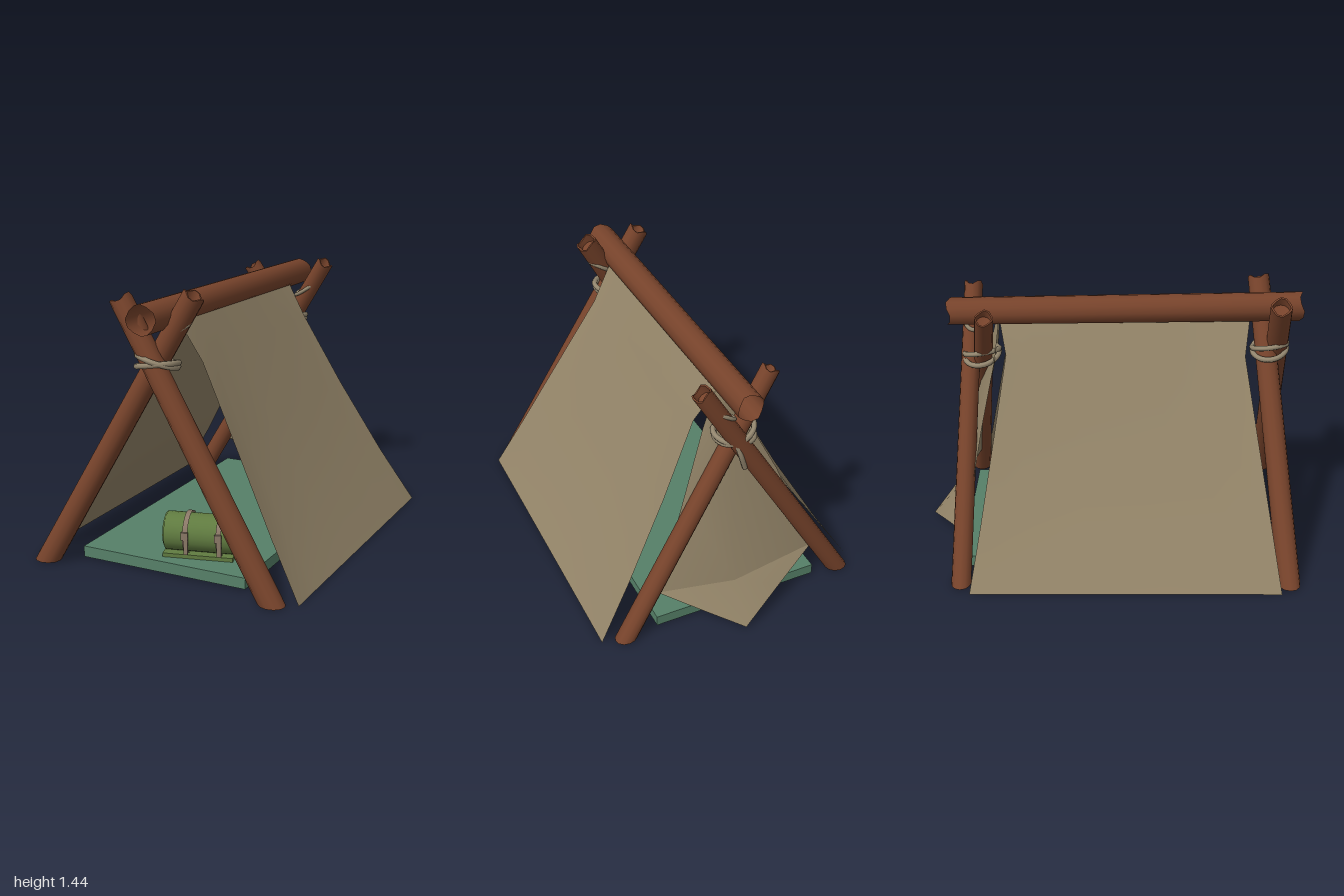
import * as THREE from 'three';
import { toCreasedNormals } from 'three/addons/utils/BufferGeometryUtils.js';

const V = (x, y, z) => new THREE.Vector3(x, y, z);

export function createModel() {
  const model = new THREE.Group();
  const mat = (name, color, side = THREE.FrontSide) => {
    const m = new THREE.MeshStandardMaterial({ color, side });
    m.name = name;
    return m;
  };
  const wood = mat('red brown wood', 0x77432b, THREE.DoubleSide);
  const cloth = mat('tan canvas', 0x938468, THREE.DoubleSide);
  const green = mat('mat green', 0x568068);
  const olive = mat('bedroll green', 0x607b40, THREE.DoubleSide);
  const strapMat = mat('strap tan', 0x8a7867, THREE.DoubleSide);
  const ropeMat = mat('rope beige', 0x958870);

  const add = (name, geometry, material, parent = model) => {
    const mesh = new THREE.Mesh(geometry, material);
    mesh.name = name;
    parent.add(mesh);
    return mesh;
  };

  // Log between two points with ragged ends: a pole has a foot cut level with the
  // ground and a hollow top, the ridge is a thin open tube
  const log = (name, a, b, r, isPole) => {
    const axis = b.clone().sub(a);
    const len = axis.length();
    axis.normalize();
    const side = [[r * 1.03, 0], [r, len * 0.5], [r * 0.97, len]];
    const profile = isPole
      ? [[0, 0], ...side, [r * 0.8, len], [r * 0.75, len - 0.04], [0, len - 0.05]] : side;
    let g = new THREE.LatheGeometry(profile.map(p => new THREE.Vector2(...p)), 12);
    const turn = new THREE.Quaternion().setFromUnitVectors(V(0, 1, 0), axis);
    const p = g.attributes.position;
    for (let i = 0; i < p.count; i++) {
      const v = V().fromBufferAttribute(p, i);
      const nearStart = v.y < 0.01;
      if (v.y > len - 0.01 || (nearStart && !isPole)) v.y += 0.012 * Math.sin(Math.atan2(v.z, v.x) * 3 + 1);
      v.applyQuaternion(turn).add(a);
      if (isPole && nearStart) v.addScaledVector(axis, (a.y - v.y) / axis.y);
      p.setXYZ(i, v.x, v.y, v.z);
    }
    g = toCreasedNormals(g, 0.8);
    add(name, g, wood);
  };
  log('frontPoleA', V(-0.64, 0.012, 0.93), V(0.14, 1.415, 0.78), 0.058, true);
  log('frontPoleB', V(0.615, 0.012, 0.925), V(-0.21, 1.385, 0.86), 0.058, true);
  log('backPoleA', V(-0.64, 0.012, -0.775), V(0.175, 1.365, -0.725), 0.05, true);
  log('backPoleB', V(0.61, 0.012, -0.785), V(-0.24, 1.335, -0.635), 0.05, true);
  log('ridgePole', V(-0.03, 1.318, 0.985), V(-0.03, 1.29, -0.835), 0.074, false);

  // Sheet from rows of points
  const sheet = (name, rows) => {
    const n = rows[0].length, index = [];
    for (let i = 0; i < rows.length - 1; i++) {
      for (let j = 0; j < n - 1; j++) {
        const k = i * n + j;
        index.push(k, k + n, k + 1, k + 1, k + n, k + n + 1);
      }
    }
    const g = new THREE.BufferGeometry().setFromPoints(rows.flat());
    g.setIndex(index);
    g.computeVertexNormals();
    add(name, g, cloth);
  };

  // Side panels, sagging inward between their edges: y, x, front z, back z for each row
  const panelRows = [
    [1.29, 0.02, 0.73, -0.58], [1.08, 0.14, 0.70, -0.55],
    [0.7, 0.35, 0.765, -0.625], [0.3, 0.57, 0.835, -0.705], [0.01, 0.737, 0.885, -0.768],
  ];
  for (const s of [1, -1]) {
    sheet(s > 0 ? 'leftCanvas' : 'rightCanvas', panelRows.map(([y, x, zf, zb]) =>
      [[0, 0], [0.12, 0.7], [0.35, 1], [0.65, 1], [0.88, 0.9], [1, 0.6]].map(([t, depth]) => {
        const sag = 0.042 * depth * Math.sin(Math.PI * y / 1.3);
        const back = s < 0 ? zb + 0.045 * (1 - y / 1.3) : zb;
        return V(s * (x - sag), y - (y > 1.2 ? 0.04 * t : 0), THREE.MathUtils.lerp(zf, back, t));
      })));
  }

  // Rear flap, with its lower corner folded out behind
  const flapEdge = [V(-0.48, 0.215, -0.76), V(0.02, 0.22, -0.84), V(0.42, 0.225, -0.76)];
  sheet('rearCanvas', [
    [V(-0.06, 1.31, -0.57), V(-0.03, 1.34, -0.57), V(0, 1.31, -0.57)],
    [V(-0.13, 1.06, -0.6), V(0, 1.06, -0.64), V(0.1, 1.06, -0.6)],
    [V(-0.29, 0.73, -0.67), V(0, 0.75, -0.73), V(0.23, 0.73, -0.67)],
    flapEdge,
  ]);
  sheet('rearCanvasFold', [
    flapEdge,
    [V(-0.225, 0.125, -0.88), V(0.03, 0.03, -1), V(0.225, 0.125, -0.88)],
  ]);

  // Ground mat: thin top plate on a raised rim
  const groundMat = new THREE.Group();
  groundMat.name = 'groundMat';
  groundMat.position.set(-0.025, 0, 0.028);
  model.add(groundMat);
  const box = (name, w, h, d, x, y, z, m, parent) =>
    add(name, new THREE.BoxGeometry(w, h, d), m, parent).position.set(x, y, z);
  box('matTop', 0.92, 0.03, 1.62, 0, 0.06, 0, green, groundMat);
  for (const s of [1, -1]) {
    box('matSide', 0.03, 0.03, 1.62, s * 0.445, 0.032, 0, green, groundMat);
    box('matEnd', 0.86, 0.03, 0.03, 0, 0.032, s * 0.795, green, groundMat);
  }

  // Bedroll: a spiral strip extruded along its length, with a loose tail at the bottom
  const roll = new THREE.Group();
  roll.name = 'bedroll';
  roll.position.set(0.098, 0.185, 0.65);
  roll.rotation.y = 0.25;
  model.add(roll);
  const outer = [], inner = [], steps = 60, turns = 3;
  for (let i = 0; i <= steps; i++) {
    const t = i / steps;
    const a = -Math.PI / 2 - (1 - t) * turns * Math.PI * 2;
    const r = 0.025 + 0.084 * t;
    outer.push(new THREE.Vector2(-Math.cos(a) * r, Math.sin(a) * r));
    inner.push(new THREE.Vector2(-Math.cos(a) * (r - 0.022), Math.sin(a) * (r - 0.022)));
  }
  const tail = [new THREE.Vector2(-0.09, -0.11), new THREE.Vector2(-0.09, -0.09)];
  const spiral = new THREE.Shape([...outer, ...tail, ...inner.reverse()]);
  const rollGeo = new THREE.ExtrudeGeometry(spiral, { depth: 0.36, bevelEnabled: false });
  rollGeo.translate(0, 0, -0.18).rotateY(Math.PI / 2);
  add('rolledBlanket', toCreasedNormals(rollGeo, 0.7), olive, roll);
  const core = new THREE.CylinderGeometry(0.098, 0.098, 0.345, 20);
  add('rollCore', core.rotateZ(Math.PI / 2), olive, roll);
  box('blanketUnderside', 0.36, 0.04, 0.1, 0, -0.125, 0, olive, roll);

  // Two straps with a buckle and hanging end each
  for (const x of [-0.06, 0.11]) {
    const band = new THREE.CylinderGeometry(0.109, 0.109, 0.026, 20, 1, true);
    add('strap', band.rotateZ(Math.PI / 2), strapMat, roll).position.x = x;
    box('buckle', 0.036, 0.04, 0.012, x, 0.015, 0.111, strapMat, roll);
    box('strapEnd', 0.022, 0.08, 0.007, x + 0.006, -0.04, 0.111, strapMat, roll);
  }

  // Rope lashings where the poles cross, with a smaller loop up at the ridge
  const tube = (name, pts, closed, radius) => add(name,
    new THREE.TubeGeometry(new THREE.CatmullRomCurve3(pts, closed), 36, radius, 6, closed), ropeMat);
  const rope = (name, cx, cy, cz, rx, rz, tilt, phase, radius) => {
    const pts = [];
    for (let i = 0; i < 12; i++) {
      const a = i / 12 * Math.PI * 2;
      pts.push(V(cx + rx * Math.cos(a), cy + tilt * Math.cos(a + phase), cz + rz * Math.sin(a)));
    }
    tube(name, pts, true, radius);
  };
  for (const [side, y, z] of [['front', 1.085, 0.835], ['back', 1.05, -0.675]]) {
    rope(side + 'Lashing', -0.03, y + 0.015, z, 0.1, 0.09, -0.03, 0.5, 0.015);
    rope(side + 'Lashing', -0.03, y - 0.005, z, 0.105, 0.088, 0.022, -0.6, 0.015);
    rope(side + 'RidgeLashing', 0.06, y + 0.16, z - 0.05, 0.06, 0.045, 0.04, 0.3, 0.011);
  }
  tube('ropeEnd', [V(0, 1.04, -0.765), V(-0.02, 0.97, -0.775), V(-0.05, 0.88, -0.765)], false, 0.014);
  return model;
}
